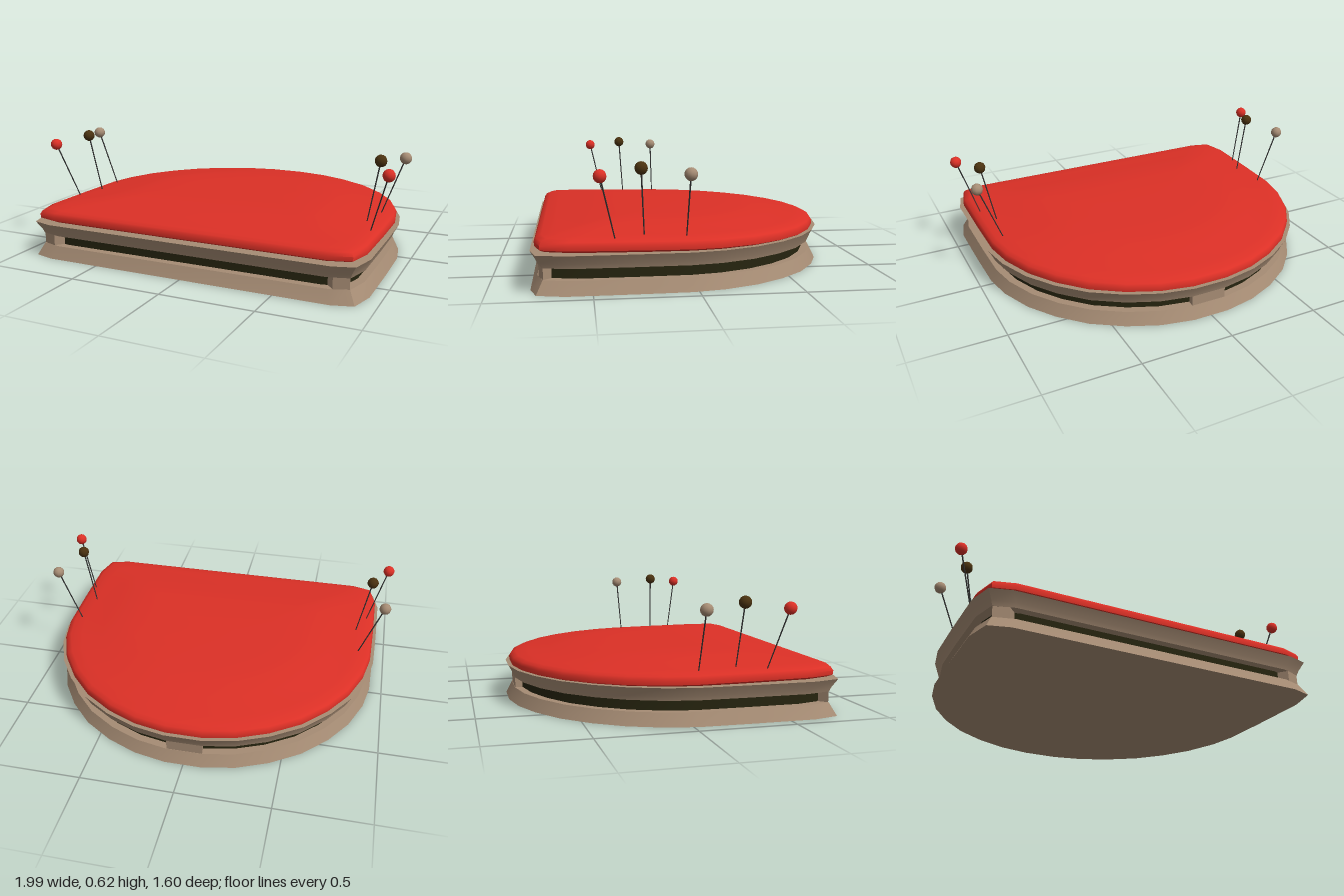
import * as THREE from 'three';
import { toCreasedNormals } from 'three/addons/utils/BufferGeometryUtils.js';

const mat = (name, color) => {
  const m = new THREE.MeshStandardMaterial({ color });
  m.name = name;
  return m;
};

// Rounded-back outline, counterclockwise from above, starting at the front right
const half = [[0.79, 0.795], [0.9, 0.765], [0.935, 0.63], [0.935, 0.3], [0.93, 0.03], [0.9, -0.13], [0.83, -0.305],
  [0.73, -0.455], [0.6, -0.59], [0.44, -0.695], [0.275, -0.765], [0.1, -0.8]];
const mirrored = half.map(([x, z]) => [-x, z]).reverse();
const outline = [...half, ...mirrored];

const inset = ([x, z], d) => [x * (1 - d / 0.935), z * (1 - d / 0.8)];
const CENTRE = 'centre'; // a row collapsed to the middle, which closes the surface

// Skin rows of [inset, y], listed so that the outside goes upwards
function loft(points, rows, tilt = 0, crease = 0.6) {
  const at = (i, [d, y]) => {
    if (d === CENTRE) return [0, y, 0];
    const [x, z] = inset(points[i % points.length], d);
    return [x, y + tilt * z, z];
  };
  const pos = [];
  for (let r = 0; r + 1 < rows.length; r++) {
    const lo = rows[r], hi = rows[r + 1];
    for (let i = 0; i < points.length; i++) {
      const a = at(i, lo), b = at(i + 1, lo), c = at(i + 1, hi), d = at(i, hi);
      if (lo[0] !== CENTRE) pos.push(...a, ...b, ...c);
      if (hi[0] !== CENTRE) pos.push(...a, ...c, ...d);
    }
  }
  const g = new THREE.BufferGeometry();
  g.setAttribute('position', new THREE.Float32BufferAttribute(pos, 3));
  return toCreasedNormals(g, crease);
}

export function createModel() {
  const model = new THREE.Group();
  model.name = 'pinCushion';
  const tan = mat('tan', 0xa68c74);
  const red = mat('red', 0xdc3026);
  const brown = mat('dark brown', 0x4a3210);
  const shade = mat('slot dark', 0x26240f);
  const steel = mat('pin steel', 0x333333);

  const add = (name, geometry, material, parent = model) => {
    const m = new THREE.Mesh(geometry, material);
    m.name = name;
    parent.add(m);
    return m;
  };

  // Base: two flared rims around a dark recessed waist
  add('lowerRim', loft(outline, [[CENTRE, 0], [0, 0], [0.033, 0.065], [0.08, 0.065]]), tan);
  add('slotWall', loft(outline, [[0.075, 0.06], [0.075, 0.125]]), shade);
  add('upperRim', loft(outline, [[0.08, 0.122], [0.033, 0.122], [0.025, 0.145], [0, 0.19], [0.1, 0.192]]), tan);

  // Posts dividing the slots at the front corners and the back
  const post = (name, pts) => {
    const ring = [...pts.map(p => inset(p, 0.035)), ...pts.map(p => inset(p, 0.1)).reverse()];
    add(name, loft(ring, [[0, 0.062], [0, 0.124]]), tan);
  };
  const corner = [[0.82, 0.79], [0.9, 0.765]];
  post('leftCornerPost', corner);
  post('rightCornerPost', corner.map(([x, z]) => [-x, z]).reverse());
  post('backPost', [[0.1, -0.8], [-0.1, -0.8]]);

  // Padded top with a rounded edge and a gentle dome
  add('cushion', loft(outline, [[0.045, 0.188], [0.022, 0.2], [0.02, 0.222], [0.03, 0.24], [0.055, 0.25], [0.12, 0.257],
    [0.25, 0.273], [0.36, 0.287], [0.44, 0.292], [0.6, 0.294], [CENTRE, 0.295]], 0.012, 0.9), red);

  // Pins: [foot, head, head colour], mirrored on both sides
  const pins = [
    [[0.83, 0.235, 0.05], [0.953, 0.562, 0.047], tan],
    [[0.807, 0.235, 0.25], [0.875, 0.585, 0.27], brown],
    [[0.862, 0.235, 0.39], [0.963, 0.56, 0.465], red],
  ];
  const headGeo = new THREE.SphereGeometry(0.032, 10, 8);
  for (const side of [1, -1]) {
    for (const [foot, head, colour] of pins) {
      const a = new THREE.Vector3(foot[0] * side, foot[1], foot[2]);
      const b = new THREE.Vector3(head[0] * side, head[1], head[2]);
      const pin = new THREE.Group();
      pin.name = side > 0 ? 'leftPin' : 'rightPin';
      model.add(pin);
      const dir = b.clone().sub(a);
      const stem = add('pinStem', new THREE.CylinderGeometry(0.004, 0.003, dir.length(), 6), steel, pin);
      stem.position.copy(a).add(b).multiplyScalar(0.5);
      stem.quaternion.setFromUnitVectors(new THREE.Vector3(0, 1, 0), dir.normalize());
      add('pinHead', headGeo, colour, pin).position.copy(b);
    }
  }
  return model;
}
